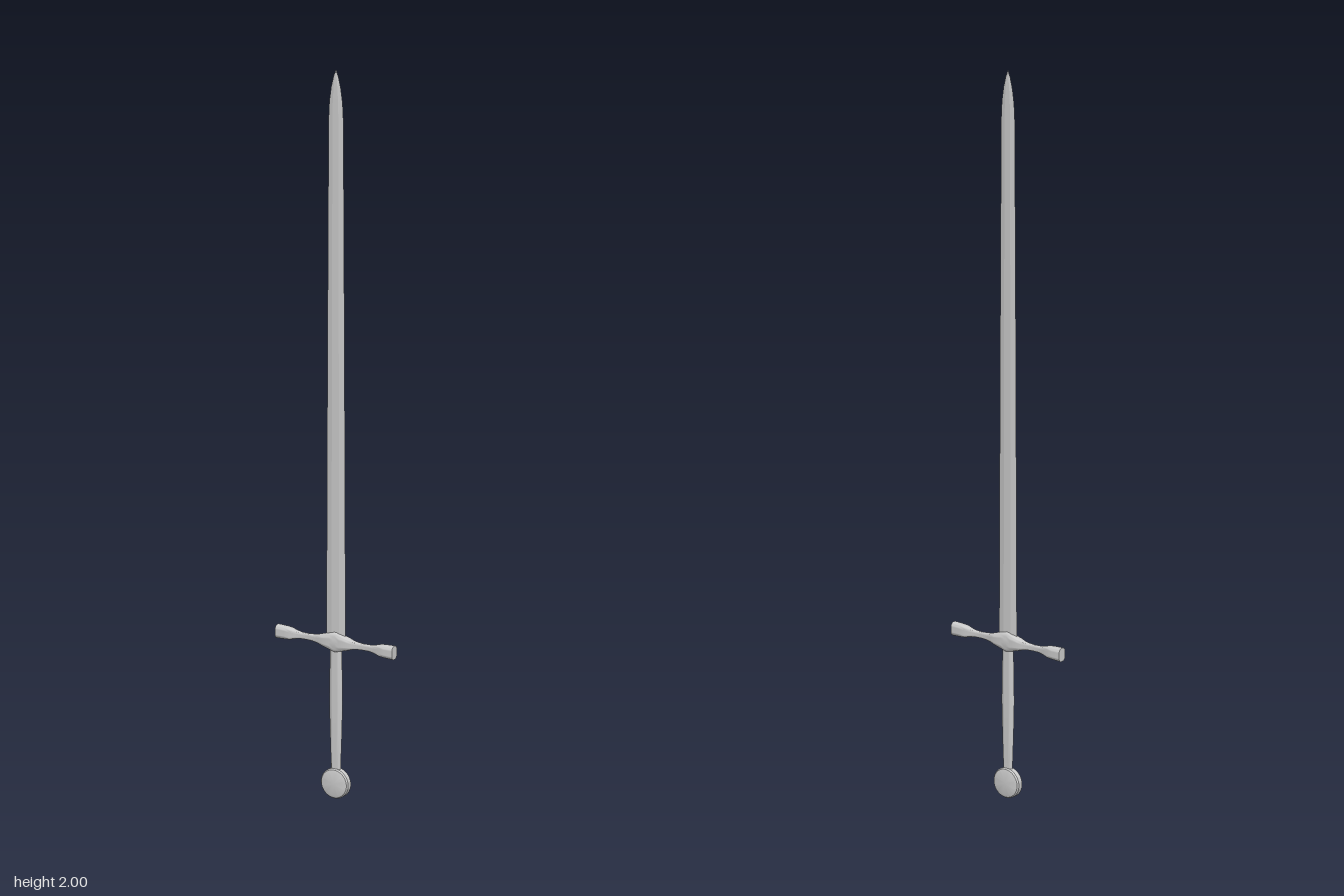
import * as THREE from 'three';
import { toCreasedNormals } from 'three/addons/utils/BufferGeometryUtils.js';

const material = new THREE.MeshStandardMaterial({ color: 0xcccccc });

// Skin a unit ring through sections [y, halfX, halfZ], capped at both ends
function loft(ring, sections, crease) {
  const n = ring.length, pos = [], index = [];
  for (const [y, hx, hz] of sections)
    for (const [x, z] of ring) pos.push(x * hx, y, z * hz);
  for (let s = 0; s < sections.length - 1; s++)
    for (let i = 0; i < n; i++) {
      const a = s * n + i, b = s * n + (i + 1) % n;
      index.push(a, a + n, b, b, a + n, b + n);
    }
  const last = (sections.length - 1) * n;
  for (let i = 1; i < n - 1; i++)
    index.push(0, i, i + 1, last, last + i + 1, last + i);
  const g = new THREE.BufferGeometry();
  g.setAttribute('position', new THREE.Float32BufferAttribute(pos, 3));
  g.setIndex(index);
  return toCreasedNormals(g, crease);
}

// Rounded unit ring; a smaller power gives a boxier outline
function roundRing(n, power) {
  const bend = v => Math.sign(v) * Math.pow(Math.abs(v), power);
  return Array.from({ length: n }, (_, i) => {
    const a = (i / n) * Math.PI * 2;
    return [bend(Math.cos(a)), bend(Math.sin(a))];
  });
}

export function createModel() {
  const model = new THREE.Group();
  const add = (name, geometry) => {
    const mesh = new THREE.Mesh(geometry, material);
    mesh.name = name;
    model.add(mesh);
    return mesh;
  };

  // Blade: flat centre, bevelled edges, curved point
  const bladeRing = [[1, 0], [0.4, 1], [-0.4, 1], [-1, 0], [-0.4, -1], [0.4, -1]];
  add('blade', loft(bladeRing, [
    [0.42, 0.029, 0.0035], [1.2, 0.026, 0.0034], [1.86, 0.0225, 0.003],
    [1.91, 0.02, 0.003], [1.95, 0.0145, 0.0026], [1.98, 0.0075, 0.002], [2, 0.0003, 0.0003],
  ], 0.1));

  // Crossguard: waisted arms flaring to flat ends, peaked in the middle
  const arm = [
    [0.003, 0.0275, 0.0135], [0.015, 0.0235, 0.0135], [0.038, 0.0165, 0.0135],
    [0.052, 0.012, 0.0095], [0.068, 0.0095, 0.007], [0.085, 0.0085, 0.006],
    [0.105, 0.009, 0.007], [0.12, 0.0115, 0.0095], [0.135, 0.016, 0.013],
    [0.15, 0.0175, 0.0135], [0.177, 0.0185, 0.0135],
  ];
  const mirrored = arm.map(([x, h, d]) => [-x, h, d]).reverse();
  const guard = add('crossguard', loft(roundRing(24, 0.7), [...mirrored, ...arm], 0.7));
  guard.rotation.z = -Math.PI / 2;
  guard.position.y = 0.428;

  // Grip: flattened oval, narrowing toward the pommel
  add('grip', loft(roundRing(20, 0.85), [
    [0.07, 0.013, 0.0075], [0.1, 0.014, 0.0075], [0.18, 0.017, 0.008],
    [0.26, 0.019, 0.0085], [0.33, 0.0185, 0.0085], [0.42, 0.016, 0.0075],
  ], 0.6));

  // Pommel: thick disc with bevelled rims, facing front and back
  const profile = [[0, -0.0135], [0.03, -0.0135], [0.038, -0.011], [0.041, -0.007],
    [0.041, 0.007], [0.038, 0.011], [0.03, 0.0135], [0, 0.0135]]
    .map(([r, z]) => new THREE.Vector2(r, z));
  const pommel = add('pommel', toCreasedNormals(new THREE.LatheGeometry(profile, 40), 0.6));
  pommel.rotation.x = Math.PI / 2;
  pommel.position.y = 0.041;

  return model;
}
